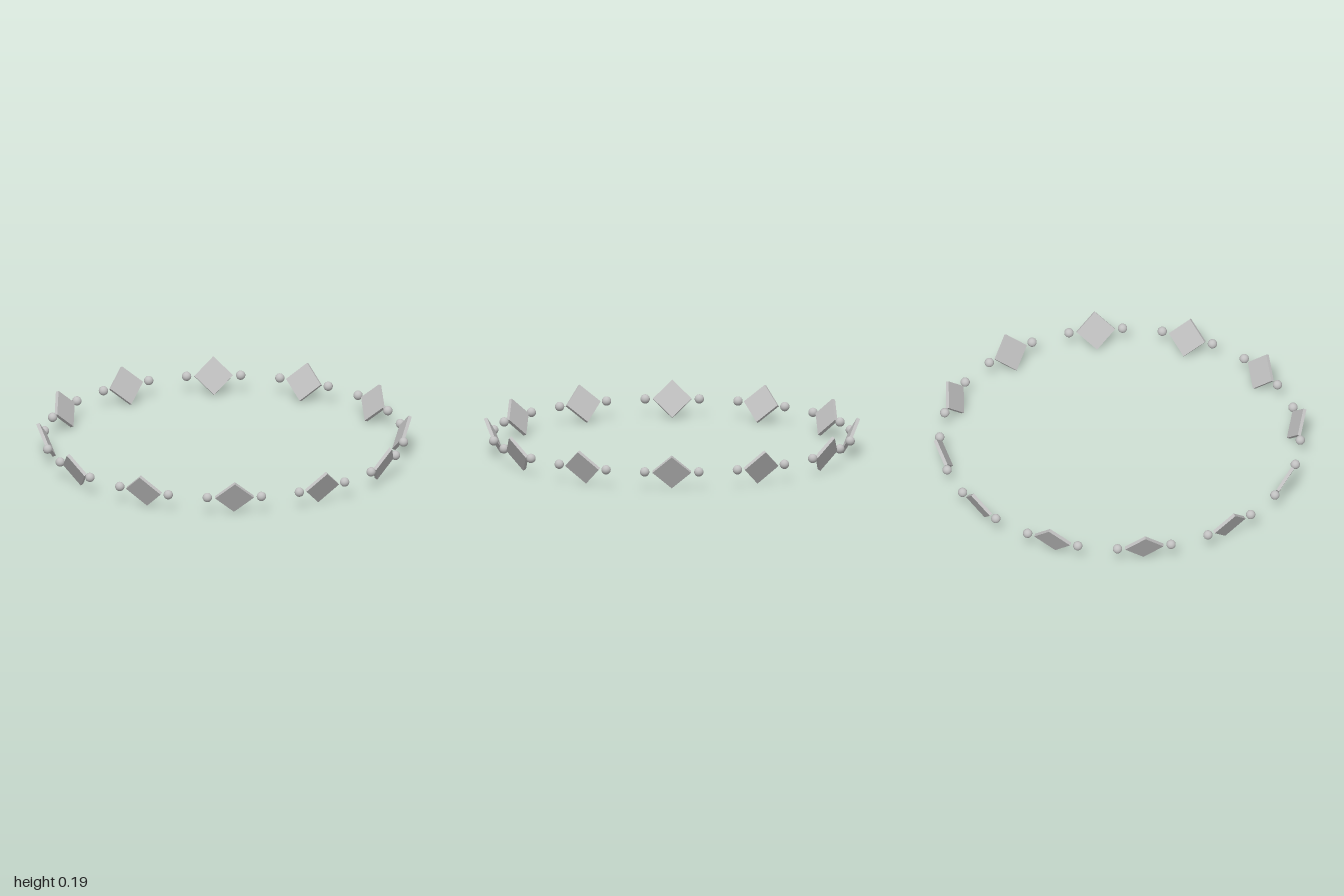
import * as THREE from 'three';

const COUNT = 12;        // plates around the ring
const RING_RADIUS = 0.948;
const MID_HEIGHT = 0.097;
const TILT = THREE.MathUtils.degToRad(25.5);

export function createModel() {
  const model = new THREE.Group();
  model.name = 'beadedRing';

  const silver = new THREE.MeshStandardMaterial({ color: 0xc0c0c0 });
  silver.name = 'silver';

  const plateGeometry = new THREE.BoxGeometry(0.146, 0.146, 0.018);
  const beadGeometry = new THREE.SphereGeometry(0.025, 24, 16);

  for (let i = 0; i < COUNT; i++) {
    const station = new THREE.Group();
    station.name = `station${i + 1}`;
    station.rotation.y = (i / COUNT) * Math.PI * 2;

    // square plate standing on its corner, top leaning outward
    const plate = new THREE.Mesh(plateGeometry, silver);
    plate.name = 'diamondPlate';
    plate.position.set(0, MID_HEIGHT, RING_RADIUS);
    plate.rotation.set(TILT, 0, Math.PI / 4);
    station.add(plate);

    // one bead on each side of the plate
    for (const side of [-1, 1]) {
      const bead = new THREE.Mesh(beadGeometry, silver);
      bead.name = side > 0 ? 'leftBead' : 'rightBead';
      bead.position.set(side * 0.144, MID_HEIGHT, RING_RADIUS);
      station.add(bead);
    }
    model.add(station);
  }
  return model;
}
